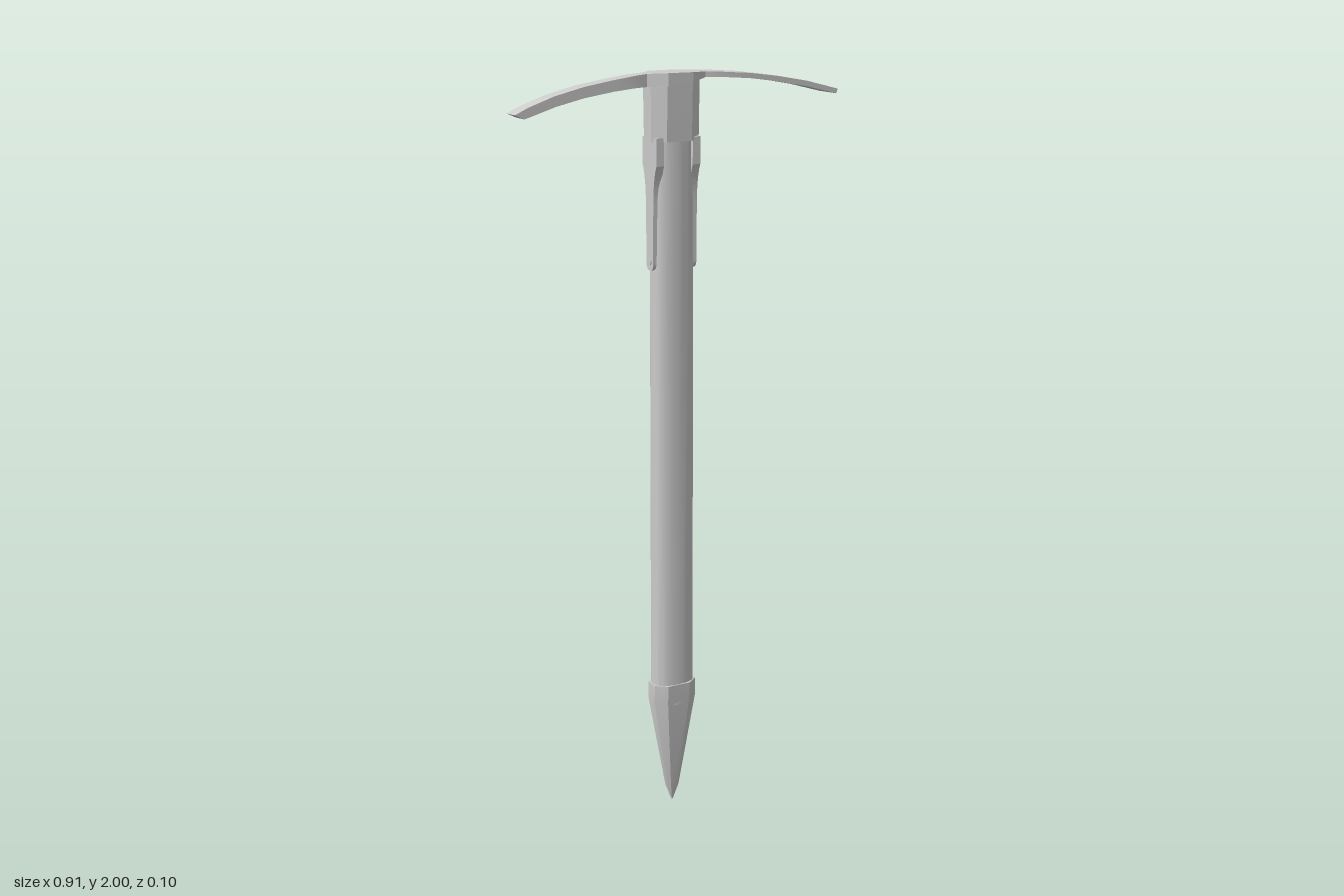
import * as THREE from 'three';
import { toCreasedNormals } from 'three/addons/utils/BufferGeometryUtils.js';

const CX = -0.016; // axis of the handle

// Joins equal-sized cross-sections into a closed solid with capped ends.
function loft(rings, crease = 0.6) {
  const n = rings[0].length, pos = rings.flat(2), idx = [];
  for (let r = 0; r < rings.length - 1; r++) {
    for (let i = 0; i < n; i++) {
      const a = r * n + i, b = r * n + (i + 1) % n;
      idx.push(a, b, b + n, a, b + n, a + n);
    }
  }
  const last = (rings.length - 1) * n;
  for (let i = 1; i < n - 1; i++) {
    idx.push(0, i + 1, i);
    idx.push(last, last + i, last + i + 1);
  }
  const g = new THREE.BufferGeometry();
  g.setAttribute('position', new THREE.Float32BufferAttribute(pos, 3));
  g.setIndex(idx);
  return toCreasedNormals(g, crease);
}

// Rounded, slightly squared oval section of the handle at height y.
function oval(y, rx, rz, sides = 32, power = 0.85) {
  const bend = (v) => Math.sign(v) * Math.abs(v) ** power;
  return Array.from({ length: sides }, (_, i) => {
    const t = -i / sides * Math.PI * 2;
    return [CX + rx * bend(Math.cos(t)), y, rz * bend(Math.sin(t))];
  });
}

// Eight-sided section with chamfered corners.
function octagon(y, rx, rz) {
  const k = 0.52, m = 0.45;
  return [[1, m], [1, -m], [k, -1], [-k, -1], [-1, -m], [-1, m], [-k, 1], [k, 1]]
    .map(([x, z]) => [CX + x * rx, y, z * rz]);
}

export function createModel() {
  const model = new THREE.Group();
  const material = new THREE.MeshStandardMaterial({ color: 0xcccccc });
  const add = (name, geometry, parent = model) => {
    const mesh = new THREE.Mesh(geometry, material);
    mesh.name = name;
    parent.add(mesh);
    return mesh;
  };

  // Handle
  add('handle', loft([
    oval(0.3, 0.06, 0.039), oval(0.7, 0.059, 0.038),
    oval(1.5, 0.058, 0.037), oval(1.85, 0.057, 0.037),
  ]));

  // Metal spike at the foot
  add('spike', loft([
    octagon(0, 0.002, 0.002), octagon(0.045, 0.018, 0.012),
    octagon(0.31, 0.063, 0.039), octagon(0.36, 0.063, 0.042),
  ], 0.3));

  // Collar holding the head
  add('collar', loft([
    octagon(1.83, 0.068, 0.043), octagon(1.93, 0.069, 0.045),
    octagon(1.99, 0.07, 0.046),
  ], 0.3));

  // Head: [top x, bottom x, top y, bottom y, half depth], pick to adze
  const sections = [
    [-0.455, -0.43, 1.915, 1.904, 0.025],
    [-0.42, -0.4, 1.931, 1.913, 0.025],
    [-0.35, -0.345, 1.955, 1.93, 0.025],
    [-0.27, -0.27, 1.974, 1.947, 0.025],
    [-0.19, -0.19, 1.987, 1.959, 0.025],
    [-0.13, -0.13, 1.995, 1.965, 0.025],
    [-0.095, -0.095, 1.998, 1.966, 0.019],
    [-0.05, -0.05, 2, 1.968, 0.048],
    [0.02, 0.02, 2, 1.975, 0.048],
    [0.065, 0.065, 1.999, 1.985, 0.031],
    [0.11, 0.11, 1.997, 1.984, 0.04],
    [0.19, 0.19, 1.991, 1.978, 0.04],
    [0.27, 0.27, 1.981, 1.967, 0.04],
    [0.36, 0.36, 1.965, 1.951, 0.04],
    [0.455, 0.452, 1.941, 1.929, 0.04],
  ];
  add('head', loft(sections.map(([xt, xb, top, bottom, d]) => [
    [xb, bottom, -d], [xt, top, -d], [xt, top, d], [xb, bottom, d],
  ]), 0.3));

  // Side straps: flared under the collar, rounded at the lower end
  const outline = new THREE.Shape();
  outline.moveTo(-0.038, 1.84);
  outline.lineTo(-0.037, 1.77);
  outline.quadraticCurveTo(-0.022, 1.74, -0.02, 1.68);
  outline.lineTo(-0.018, 1.52);
  outline.quadraticCurveTo(-0.018, 1.502, 0, 1.502);
  outline.quadraticCurveTo(0.018, 1.502, 0.018, 1.52);
  outline.lineTo(0.02, 1.68);
  outline.quadraticCurveTo(0.022, 1.74, 0.037, 1.77);
  outline.lineTo(0.038, 1.84);
  const strapGeometry = new THREE.ExtrudeGeometry(outline,
    { depth: 0.022, bevelEnabled: false, curveSegments: 6 });
  const rivetGeometry = new THREE.CylinderGeometry(0.009, 0.009, 0.006, 12);
  for (const side of [1, -1]) {
    const strap = new THREE.Group();
    strap.name = side > 0 ? 'leftStrap' : 'rightStrap';
    strap.position.x = CX;
    strap.rotation.y = side * Math.PI / 2;
    add('strapPlate', strapGeometry, strap).position.z = 0.041;
    const rivet = add('strapRivet', rivetGeometry, strap);
    rivet.rotation.x = Math.PI / 2;
    rivet.position.set(0, 1.525, 0.062);
    model.add(strap);
  }

  return model;
}
